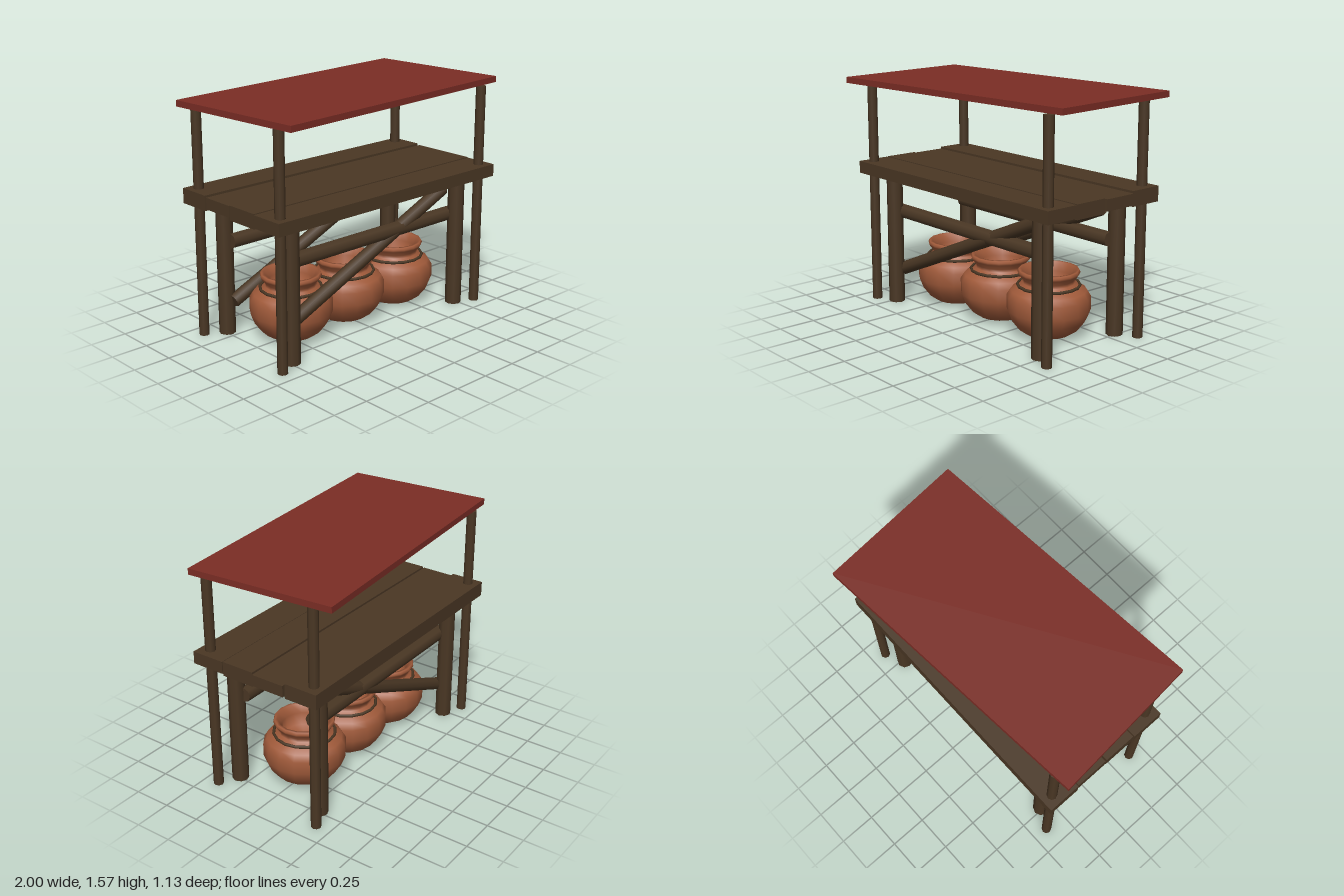
import * as THREE from 'three';

const wood = new THREE.MeshStandardMaterial({ color: 0x4a3724 });
wood.name = 'dark wood';
const roofRed = new THREE.MeshStandardMaterial({ color: 0x7b2d25 });
roofRed.name = 'roof red';
const clay = new THREE.MeshStandardMaterial({ color: 0xa05a3a });
clay.name = 'terracotta';

function add(parent, name, geometry, material, x = 0, y = 0, z = 0) {
  const mesh = new THREE.Mesh(geometry, material);
  mesh.name = name;
  mesh.position.set(x, y, z);
  parent.add(mesh);
  return mesh;
}

// Round timber laid between two points in the x-y plane
function addBeam(parent, name, x0, y0, x1, y1, z, radius) {
  const length = Math.hypot(x1 - x0, y1 - y0);
  const beam = add(parent, name, new THREE.CylinderGeometry(radius, radius, length, 8), wood,
    (x0 + x1) / 2, (y0 + y1) / 2, z);
  beam.rotation.z = Math.atan2(y1 - y0, x1 - x0) - Math.PI / 2;
}

export function createModel() {
  const stall = new THREE.Group();
  stall.name = 'marketStall';

  // Canopy board, slightly askew
  const roof = add(stall, 'roof', new THREE.BoxGeometry(1.926, 0.04, 0.985), roofRed, 0, 1.55, 0);
  roof.rotation.y = 0.078;

  // Table legs and canopy poles
  const legShape = new THREE.CylinderGeometry(0.055, 0.055, 0.9, 8);
  const poleShape = new THREE.CylinderGeometry(0.033, 0.033, 1.52, 8);
  for (const sx of [-1, 1]) {
    for (const sz of [-1, 1]) {
      add(stall, 'leg', legShape, wood, sx * 0.735, 0.45, sz * 0.325);
      add(stall, 'canopyPole', poleShape, wood, sx * 0.87, 0.76, sz * 0.397);
    }
  }

  // Braces along the front and back
  for (const z of [-0.27, 0.27]) {
    addBeam(stall, 'rail', -0.73, 0.64, 0.73, 0.64, z, 0.05);
    addBeam(stall, 'diagonalBrace', -0.72, 0.228, 0.655, 0.826, z, 0.045);
  }

  // Uneven tabletop planks: [centre z, bottom, top, left end, right end]
  const planks = [
    [0.355, 0.9, 0.982, -0.94, 0.945],
    [0.12, 0.89, 0.985, -0.935, 0.945],
    [-0.118, 0.905, 0.98, -0.935, 0.957],
    [-0.353, 0.893, 0.992, -0.94, 0.945],
  ];
  for (const [z, y0, y1, x0, x1] of planks) {
    add(stall, 'plank', new THREE.BoxGeometry(x1 - x0, y1 - y0, 0.228), wood,
      (x0 + x1) / 2, (y0 + y1) / 2, z);
  }

  // Clay pots: outside from the base up, over the lip and down the throat
  const profile = [
    [0, 0.02], [0.15, 0.02], [0.195, 0.05], [0.245, 0.115], [0.27, 0.18], [0.27, 0.265],
    [0.245, 0.305], [0.2, 0.333], [0.168, 0.355], [0.165, 0.375], [0.195, 0.41],
    [0.2, 0.425], [0.193, 0.44], [0.175, 0.44], [0.145, 0.385], [0.14, 0.3], [0, 0.29],
  ].map(([r, y]) => new THREE.Vector2(r, y));
  const potShape = new THREE.LatheGeometry(profile, 16);
  const bandShape = new THREE.TorusGeometry(0.2, 0.01, 6, 16);
  for (const x of [-0.463, 0, 0.463]) {
    const pot = new THREE.Group();
    pot.name = 'pot';
    pot.position.x = x;
    add(pot, 'potBody', potShape, clay);
    add(pot, 'potBand', bandShape, wood, 0, 0.338, 0).rotation.x = Math.PI / 2;
    stall.add(pot);
  }

  return stall;
}
